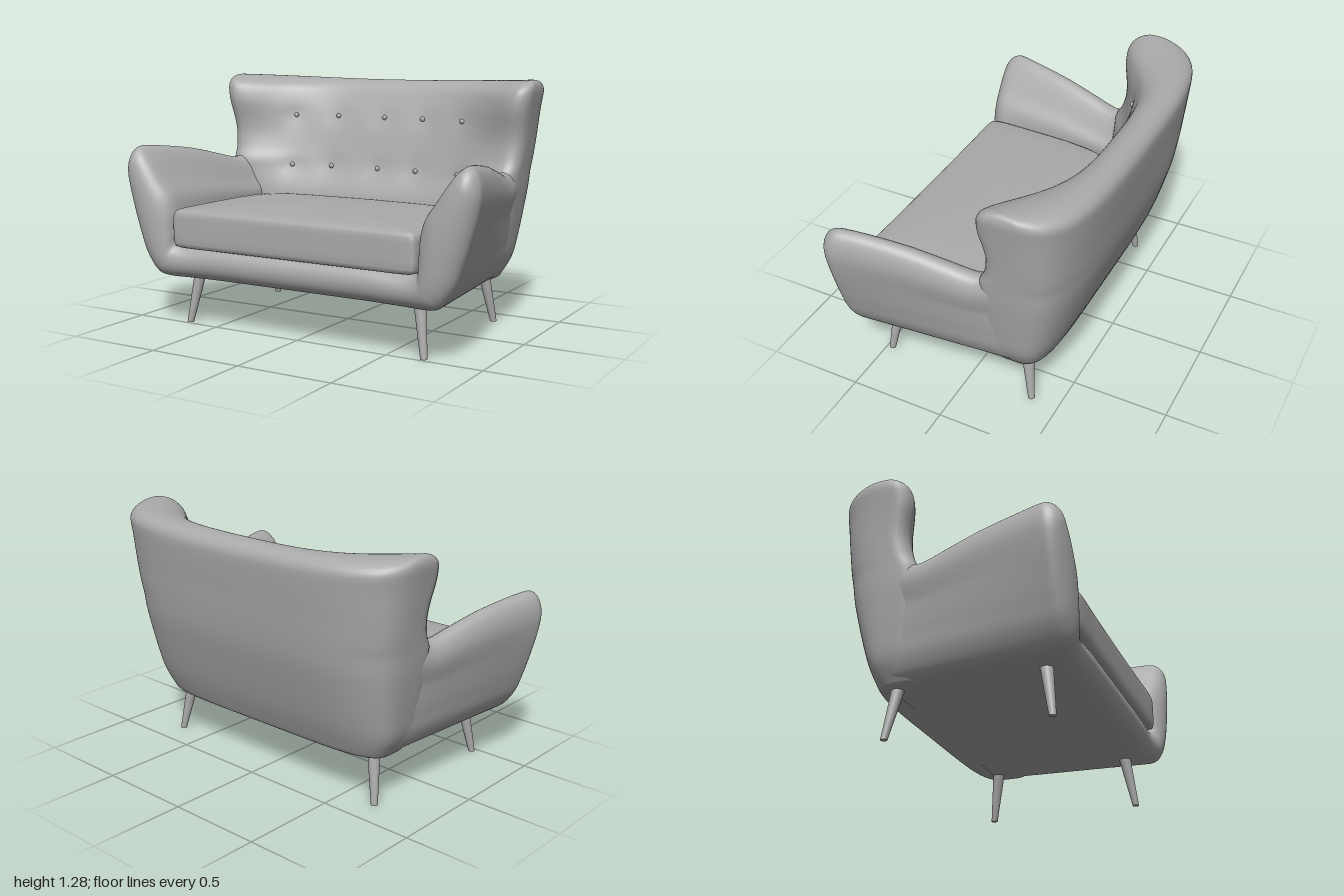
import * as THREE from 'three';
import { mergeVertices } from 'three/addons/utils/BufferGeometryUtils.js';

const V = (x, y, z) => new THREE.Vector3(x, y, z);
const { clamp, lerp, smoothstep } = THREE.MathUtils;

// Smooth interpolation through a table of [key, value] pairs
function table(rows) {
  const slope = (i) => {
    const a = rows[Math.max(i - 1, 0)], b = rows[Math.min(i + 1, rows.length - 1)];
    return (b[1] - a[1]) / (b[0] - a[0]);
  };
  return (k) => {
    k = clamp(k, rows[0][0], rows[rows.length - 1][0]);
    let i = 0;
    while (i < rows.length - 2 && k > rows[i + 1][0]) i++;
    const [k0, v0] = rows[i], [k1, v1] = rows[i + 1], h = k1 - k0, t = (k - k0) / h;
    const t2 = t * t, t3 = t2 * t;
    return v0 * (2 * t3 - 3 * t2 + 1) + h * slope(i) * (t3 - 2 * t2 + t)
      + v1 * (3 * t2 - 2 * t3) + h * slope(i + 1) * (t3 - t2);
  };
}

// Skin a stack of closed loops
function loft(rings) {
  const n = rings[0].length, idx = [];
  for (let r = 0; r < rings.length - 1; r++) {
    for (let i = 0; i < n; i++) {
      const a = r * n + i, b = r * n + (i + 1) % n;
      idx.push(a, b, b + n, a, b + n, a + n);
    }
  }
  const pts = rings.flat();
  // Turn all faces outward
  let volume = 0;
  for (let i = 0; i < idx.length; i += 3) {
    volume += pts[idx[i]].dot(pts[idx[i + 1]].clone().cross(pts[idx[i + 2]]));
  }
  if (volume < 0) idx.reverse();
  const raw = new THREE.BufferGeometry().setFromPoints(pts);
  raw.setIndex(idx);
  const geo = mergeVertices(raw, 1e-4);
  geo.computeVertexNormals();
  return geo;
}

// Sample a half outline that runs between two points on x = 0
function halfOutline(points, samples) {
  return new THREE.CatmullRomCurve3(points.map(([x, y]) => V(x, y, 0)), false, 'centripetal').getPoints(samples);
}
// Mirror a half outline into a closed loop
function mirrorLoop(half) {
  return [...half, ...half.slice(1, -1).reverse().map((p) => V(-p.x, p.y, p.z))];
}

// Base and arms: one U-shaped section carried from back to front, closing in a padded front
function bodyGeometry() {
  const N = 100, APEX = 50, C = 37;
  const section = halfOutline([
    [0, 0.255], [0.4, 0.255], [0.76, 0.257], [0.81, 0.275], [0.875, 0.36], [0.915, 0.46],
    [0.95, 0.57], [0.985, 0.7], [1, 0.8], [0.99, 0.87], [0.968, 0.91], [0.935, 0.925],
    [0.9, 0.905], [0.86, 0.86], [0.79, 0.76], [0.73, 0.68], [0.705, 0.6], [0.7, 0.5],
    [0.69, 0.43], [0.4, 0.43], [0, 0.43]], N);
  // Line running midway between the outer and inner sides of the section
  const middle = (i) => {
    const j = Math.min(i, N - i, C);
    return section[j].clone().lerp(section[N - j], 0.5);
  };
  const armTop = table([[-0.33, 0.83], [-0.2, 0.83], [-0.12, 0.815], [0, 0.842], [0.2, 0.89],
    [0.4, 0.918], [0.52, 0.928], [0.64, 0.93]]);
  const frontBulge = table([[0.255, -0.014], [0.4, -0.004], [0.6, 0], [0.8, -0.004], [0.925, -0.015]]);
  const stations = [-0.33, -0.25, -0.2, -0.16, -0.12, -0.06, 0, 0.1, 0.2, 0.3, 0.4, 0.47, 0.51]
    .map((z) => [z, 0]);
  for (let i = 0; i <= 14; i++) {
    const t = i / 14 * Math.PI / 2;
    stations.push([0.54 + 0.1 * Math.sin(t) ** 0.75, 1 - Math.cos(t)]);
  }
  return loft(stations.map(([z, k]) => mirrorLoop(section.map((s, i) => {
    const p = s.clone().lerp(middle(i), k);
    // Arms lean in and sink toward the back; their inner faces stay nearly parallel
    const inward = i > APEX ? lerp(0.25, 1, clamp((s.y - 0.6) / 0.3, 0, 1)) : 1;
    const taper = inward * (0.06 + 0.08 * clamp((s.y - 0.26) / 0.4, 0, 1)) * Math.max(0.57 - z, 0) / 0.77;
    const y = p.y < 0.45 ? p.y : 0.45 + (p.y - 0.45) * (armTop(z) - 0.45) / 0.475;
    const recess = 0.036 * (1 - smoothstep(p.x, 0.62, 0.82)) + 0.015 * smoothstep(p.x, 0.85, 1);
    return V(p.x * (1 - taper / Math.max(s.x, 0.7)), y,
      z + (frontBulge(p.y) - recess) * smoothstep(z, 0.35, 0.6));
  }))));
}

// Backrest measurements by height
const halfWidth = table([[0.26, 0.735], [0.36, 0.79], [0.5, 0.82], [0.65, 0.845], [0.73, 0.857], [0.85, 0.87], [1, 0.89], [1.15, 0.916], [1.26, 0.938]]);
const rearZ = table([[0.26, -0.43], [0.4, -0.487], [0.57, -0.54], [0.755, -0.587], [1, -0.618], [1.17, -0.635], [1.3, -0.635]]);
const innerZ = table([[0.26, -0.24], [0.6, -0.24], [0.78, -0.31], [1.05, -0.39], [1.2, -0.45], [1.3, -0.46]]);
const wingZ = table([[0.26, -0.16], [0.8, -0.145], [0.86, -0.175], [0.95, -0.195], [1.02, -0.19], [1.12, -0.168], [1.2, -0.176], [1.27, -0.195]]);
const buttons = [[[-0.535, -0.29, 0, 0.235, 0.49], 1.05], [[-0.52, -0.29, 0, 0.235, 0.505], 0.775]]
  .flatMap(([xs, y]) => xs.map((x) => [x, y]));

// Hollow front face of the backrest, rolling into the wings and dented around each button
function innerFace(x, y) {
  const c = innerZ(y), q = Math.abs(x) / (halfWidth(y) - 0.06);
  let z = c + (wingZ(y) - c) * q ** 3.5 * (1.583 - 0.583 * q ** 6);
  for (const [bx, by] of buttons) z -= 0.012 * Math.exp(-((x - bx) ** 2 + (y - by) ** 2) / 0.003);
  return z;
}

// Backrest with wings: stacked crescents closing onto their middle line at top and bottom
function backGeometry() {
  const N = 80, C = 16;
  const ring = (y, k) => {
    const w = halfWidth(y), tip = wingZ(y), zc = tip - 0.07, depth = zc - rearZ(y);
    const power = 2 / (3.8 + 1.2 * clamp(1 - (y - 0.26) / 0.7, 0, 1));
    const outer = [], inner = [];
    for (let i = 0; i <= N; i++) {
      const u = i / N, a = Math.PI * u - 0.45 * Math.sin(2 * Math.PI * u);
      const c = Math.cos(a), s = Math.max(Math.sin(a), 0);
      outer.push(V(w * Math.sign(c) * Math.abs(c) ** power, y, zc - depth * s ** power));
      inner.push(V((w - 0.06) * c, y, innerFace((w - 0.06) * c, y)));
    }
    const middle = (i) => {
      const j = clamp(i, C, N - C);
      return outer[j].clone().lerp(inner[j], 0.5);
    };
    const nose = (side) => [[0.004, 0.042], [0.016, 0.019], [0.036, 0.005]]
      .map(([dx, dz]) => V(side * (w - dx), y, tip - dz));
    const pull = (p, i) => p.clone().lerp(middle(i), k);
    const loop = [
      ...outer.map(pull),
      ...nose(-1).map((p) => pull(p, N)),
      ...inner.map(pull).reverse(),
      ...nose(1).reverse().map((p) => pull(p, 0))];
    // Top edge rises gently toward the wings
    const lift = smoothstep(y, 0.9, 1.2);
    loop.forEach((p) => { p.y += lift * 0.025 * (p.x / 0.9) ** 2; });
    return loop;
  };
  const rings = [ring(0.257, 1), ring(0.257, 0.05), ring(0.265, 0.015), ring(0.28, 0)];
  for (let y = 0.3; y < 1.15; y += 0.025) rings.push(ring(y, 0));
  for (let i = 0; i <= 12; i++) {
    const t = i / 12 * Math.PI / 2;
    rings.push(ring(1.155 + 0.098 * Math.sin(t) ** 0.7, 1 - Math.cos(t)));
  }
  return loft(rings);
}

// Seat cushion: plan outline stacked with rounded edges and a crowned top
function cushionGeometry() {
  const plan = mirrorLoop(halfOutline([[0, 0.6], [0.4, 0.602], [0.66, 0.602], [0.69, 0.593], [0.7, 0.56],
    [0.697, 0.3], [0.68, 0.05], [0.645, -0.11], [0.58, -0.19], [0.4, -0.225], [0, -0.245]], 60));
  const levels = [[0, 0.42], [0.96, 0.42], [0.985, 0.427], [0.997, 0.445], [1, 0.48], [1, 0.57],
    [0.997, 0.592], [0.985, 0.608], [0.96, 0.617], [0.85, 0.624], [0.6, 0.632], [0.3, 0.638], [0, 0.64]];
  return loft(levels.map(([s, y]) => plan.map((p) => V(p.x * s, y, 0.18 + (p.y - 0.18) * s))));
}

export function createModel() {
  const group = new THREE.Group();
  group.name = 'sofa';
  const grey = new THREE.MeshStandardMaterial({ color: 0xaaaaaa });
  grey.name = 'plain grey';
  const add = (name, geometry) => {
    const mesh = new THREE.Mesh(geometry, grey);
    mesh.name = name;
    group.add(mesh);
    return mesh;
  };

  add('baseAndArms', bodyGeometry());
  add('wingedBackrest', backGeometry());
  add('seatCushion', cushionGeometry());

  // Tufting buttons
  const buttonGeometry = new THREE.SphereGeometry(0.014, 14, 10);
  buttons.forEach(([x, y]) => {
    const button = add('tuftButton', buttonGeometry);
    button.position.set(x, y, innerFace(x, y) + 0.005);
    button.scale.z = 0.75;
  });

  // Splayed tapered legs, sheared so the feet stay flat
  for (const side of [-1, 1]) {
    for (const [name, topZ, footZ] of [['frontLeg', 0.43, 0.472], ['backLeg', -0.305, -0.35]]) {
      const leg = new THREE.CylinderGeometry(0.033, 0.017, 0.28, 20);
      leg.translate(0, 0.14, 0);
      leg.applyMatrix4(new THREE.Matrix4().set(
        1, -side * 0.045 / 0.28, 0, side * 0.688,
        0, 1, 0, 0,
        0, (topZ - footZ) / 0.28, 1, footZ,
        0, 0, 0, 1));
      add(name, leg);
    }
  }
  return group;
}
